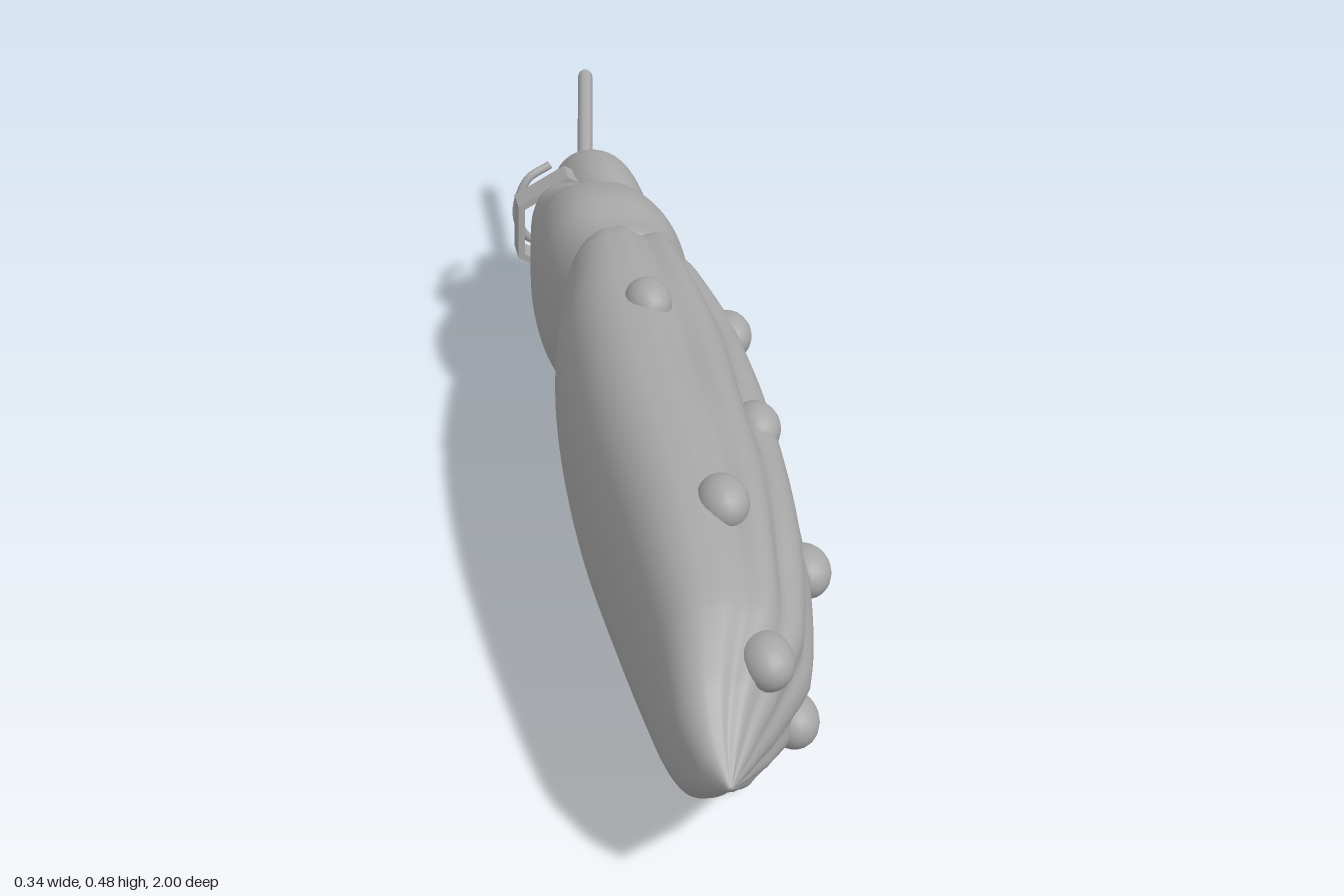
import * as THREE from 'three';

const gray = new THREE.MeshStandardMaterial({ color: 0xa6a6a6 });
gray.name = 'stone gray';

function add(group, name, geometry, position = [0, 0, 0]) {
  const mesh = new THREE.Mesh(geometry, gray);
  mesh.name = name;
  mesh.position.set(...position);
  group.add(mesh);
  return mesh;
}

// Skin through oval sections along z. Row: z, xMin, xMax, yMin, yMax (from +z to -z).
// The back faces +x and may carry lengthwise ridges; the belly faces -x and is flatter.
function loft(rows, { rings = 48, sides = 96, belly = 2, back = 2, keel = 0.5, ridge = 0, waves = 0 } = {}) {
  const xs = new THREE.CatmullRomCurve3(rows.map(r => new THREE.Vector3(r[1], r[2], r[0])));
  const ys = new THREE.CatmullRomCurve3(rows.map(r => new THREE.Vector3(r[3], r[4], r[0])));
  const pos = [], index = [];
  for (let i = 0; i <= rings; i++) {
    const k = i / rings, f = k * (rows.length - 1), n = Math.min(Math.floor(f), rows.length - 2);
    const z = THREE.MathUtils.lerp(rows[n][0], rows[n + 1][0], f - n);
    const { x: x0, y: x1 } = xs.getPoint(k), { x: y0, y: y1 } = ys.getPoint(k);
    const cx = x0 + (x1 - x0) * keel, cy = (y0 + y1) / 2, h = (y1 - y0) / 2;
    for (let j = 0; j < sides; j++) {
      const a = j / sides * Math.PI * 2, c = Math.cos(a), s = Math.sin(a);
      const p = 2 / (c > 0 ? back : belly);
      const groove = c > -0.1
        ? 1 - ridge * Math.pow(Math.abs(Math.sin(a * waves / 2)), 3) * (0.8 + 0.2 * Math.sin(z * 17 + a * 3))
        : 1;
      const ux = Math.sign(c) * Math.pow(Math.abs(c), p) * groove;
      const uy = Math.sign(s) * Math.pow(Math.abs(s), p) * groove;
      pos.push(cx + ux * (c > 0 ? x1 - cx : cx - x0), cy + uy * h, z);
    }
  }
  for (let i = 0; i < rings; i++) for (let j = 0; j < sides; j++) {
    const a = i * sides + j, b = i * sides + (j + 1) % sides;
    index.push(a, a + sides, b, b, a + sides, b + sides);
  }
  // End caps
  for (const [ring, flip] of [[0, false], [rings, true]]) {
    const o = ring * sides;
    for (let j = 1; j < sides - 1; j++) index.push(o, o + (flip ? j + 1 : j), o + (flip ? j : j + 1));
  }
  const g = new THREE.BufferGeometry();
  g.setAttribute('position', new THREE.Float32BufferAttribute(pos, 3));
  g.setIndex(index);
  g.computeVertexNormals();
  return g;
}

export function createModel() {
  const model = new THREE.Group();
  model.name = 'wartySlug';

  // Long ridged abdomen
  add(model, 'abdomen', loft([
    [1.0, -0.092, -0.086, 0.247, 0.253],
    [0.96, -0.125, -0.05, 0.205, 0.295],
    [0.9, -0.148, 0.0, 0.15, 0.35],
    [0.8, -0.155, 0.07, 0.09, 0.405],
    [0.6, -0.165, 0.12, 0.052, 0.447],
    [0.3, -0.174, 0.153, 0.035, 0.464],
    [0.0, -0.155, 0.157, 0.035, 0.464],
    [-0.16, -0.12, 0.135, 0.05, 0.458],
    [-0.2, -0.105, 0.125, 0.065, 0.445],
    [-0.23, -0.07, 0.08, 0.12, 0.38],
  ], { rings: 72, belly: 2.5, back: 2.2, keel: 0.4, ridge: 0.09, waves: 12 }));

  // Warts: x, y, z
  const warts = [
    [-0.01, 0.34, 0.86], [0.045, 0.185, 0.8], [-0.015, 0.43, 0.61], [0.125, 0.25, 0.55],
    [0.08, 0.105, 0.56], [0.1, 0.365, 0.33], [-0.01, 0.06, 0.37], [0.095, 0.11, 0.17],
    [0.13, 0.34, 0.01], [-0.015, 0.45, 0.07], [0.13, 0.2, -0.08], [-0.01, 0.042, -0.07],
  ];
  const wart = new THREE.SphereGeometry(0.038, 20, 14);
  wart.scale(1, 1, 1.25);
  warts.forEach(p => add(model, 'wart', wart, p));

  // Smooth thorax behind the head
  add(model, 'thorax', loft([
    [-0.17, -0.06, 0.09, 0.13, 0.38],
    [-0.2, -0.1, 0.118, 0.075, 0.43],
    [-0.25, -0.122, 0.126, 0.064, 0.432],
    [-0.33, -0.133, 0.132, 0.056, 0.44],
    [-0.42, -0.13, 0.122, 0.055, 0.42],
    [-0.48, -0.122, 0.1, 0.07, 0.385],
    [-0.54, -0.112, 0.07, 0.11, 0.355],
    [-0.59, -0.1, 0.04, 0.14, 0.335],
    [-0.62, -0.06, 0.02, 0.19, 0.28],
  ], { belly: 2.5, back: 2.2, keel: 0.45 }));

  // Domed head
  add(model, 'head', loft([
    [-0.44, 0.04, 0.085, 0.2, 0.28],
    [-0.48, 0.0, 0.108, 0.155, 0.32],
    [-0.54, -0.03, 0.115, 0.122, 0.348],
    [-0.61, -0.05, 0.116, 0.112, 0.36],
    [-0.68, -0.052, 0.108, 0.122, 0.352],
    [-0.73, -0.045, 0.085, 0.145, 0.328],
    [-0.765, -0.02, 0.055, 0.18, 0.29],
    [-0.78, 0.008, 0.025, 0.225, 0.25],
  ], { sides: 48, back: 2.1 }));

  // Thin hexagonal collar around the mouth
  const hexagon = (Path, r) => new Path(Array.from({ length: 6 }, (_, i) =>
    new THREE.Vector2(r * Math.cos(i * Math.PI / 3 + 0.5), r * Math.sin(i * Math.PI / 3 + 0.5))));
  const frame = hexagon(THREE.Shape, 0.106);
  frame.holes.push(hexagon(THREE.Path, 0.092));
  add(model, 'mouthCollar', new THREE.ExtrudeGeometry(frame, { depth: 0.05, bevelEnabled: false }),
    [-0.035, 0.24, -0.64]);

  // Curved jaw in front of the collar
  const jaw = new THREE.CatmullRomCurve3([
    [-0.05, 0.32, -0.7], [-0.095, 0.3, -0.685], [-0.118, 0.24, -0.675], [-0.095, 0.18, -0.685], [-0.05, 0.16, -0.7],
  ].map(p => new THREE.Vector3(...p)));
  add(model, 'jaw', new THREE.TubeGeometry(jaw, 24, 0.008, 8));

  // Two slender, slightly wavy antennae
  for (const [name, y0, y1] of [['upperAntenna', 0.29, 0.362], ['lowerAntenna', 0.185, 0.105]]) {
    const points = [0, 0.25, 0.5, 0.75, 1].map((t, i) => new THREE.Vector3(
      THREE.MathUtils.lerp(0.02, 0.068, t),
      THREE.MathUtils.lerp(y0, y1, t) + (i % 2 ? 0.003 : 0),
      THREE.MathUtils.lerp(-0.72, -0.986, t)));
    add(model, name, new THREE.TubeGeometry(new THREE.CatmullRomCurve3(points), 20, 0.014, 10));
    add(model, name + 'Tip', new THREE.SphereGeometry(0.014, 12, 8), points[4].toArray());
  }
  return model;
}
